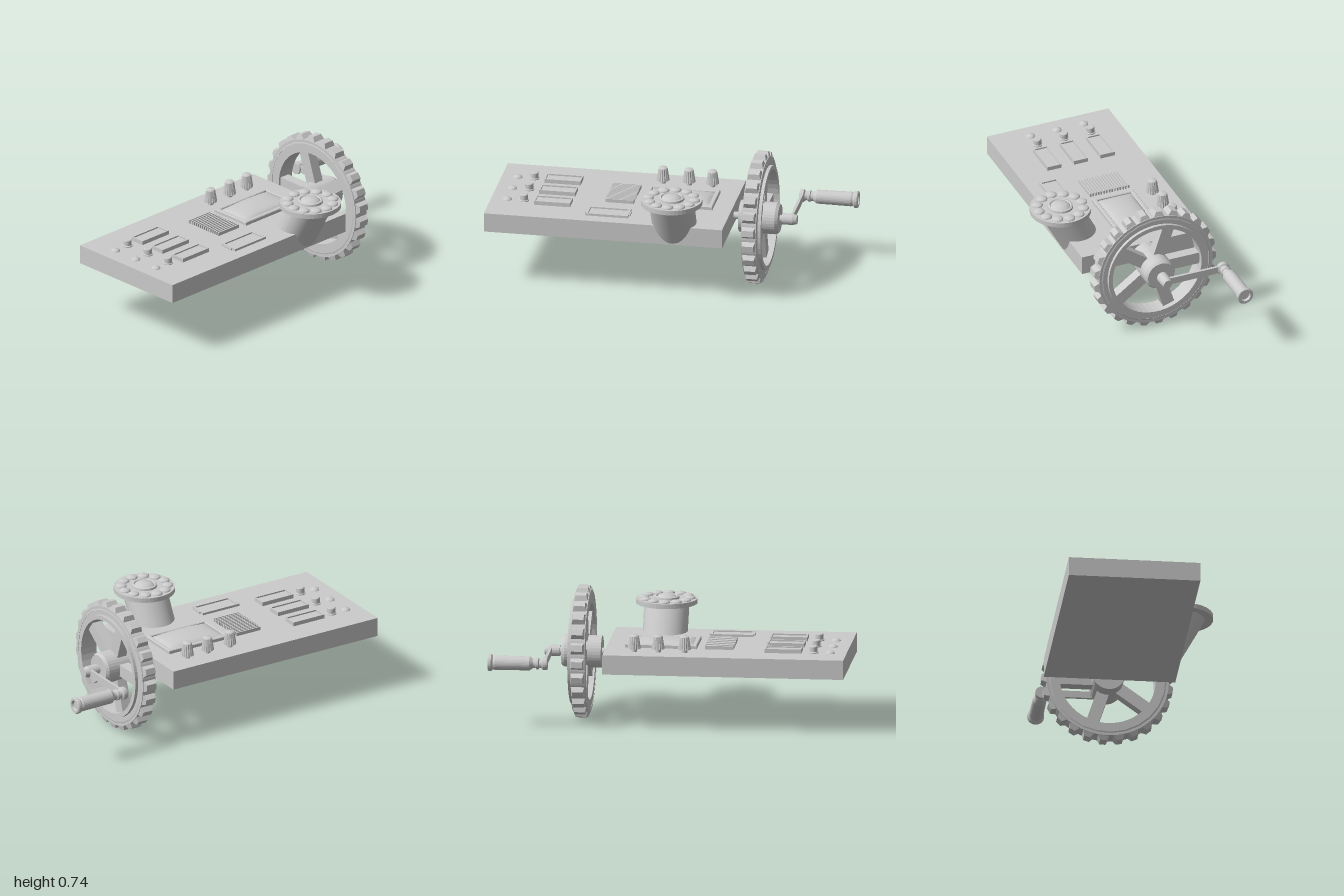
import * as THREE from 'three';

const mat = new THREE.MeshStandardMaterial({ color: 0xcccccc, side: THREE.DoubleSide });
const flat = new THREE.MeshStandardMaterial({ color: 0xcccccc, side: THREE.DoubleSide, flatShading: true });
const TOP = 0.435; // upper face of the board

function add(parent, name, geo, x = 0, y = 0, z = 0, m = flat) {
  const mesh = new THREE.Mesh(geo, m);
  mesh.name = name;
  mesh.position.set(x, y, z);
  parent.add(mesh);
  return mesh;
}

function group(parent, name, x, y, z) {
  const g = new THREE.Group();
  g.name = name;
  g.position.set(x, y, z);
  parent.add(g);
  return g;
}

const box = (w, h, d) => new THREE.BoxGeometry(w, h, d);
const lathe = (pts, n = 32) => new THREE.LatheGeometry(pts.map(p => new THREE.Vector2(...p)), n);

// Lathe whose axis runs towards the back: points are [radius, distance back]
const backLathe = (pts, n) => lathe(pts, n).rotateX(-Math.PI / 2);

function rectPath(w, d, P) {
  const p = new P();
  p.moveTo(-w / 2, -d / 2);
  p.lineTo(w / 2, -d / 2);
  p.lineTo(w / 2, d / 2);
  p.lineTo(-w / 2, d / 2);
  p.closePath();
  return p;
}

// Rectangular rim lying on the board with a sunken panel inside
function framedPanel(parent, name, x, z, w, d, h, border, inner) {
  const g = group(parent, name, x, TOP, z);
  const s = rectPath(w, d, THREE.Shape);
  s.holes.push(rectPath(w - 2 * border, d - 2 * border, THREE.Path));
  add(g, 'rim', new THREE.ExtrudeGeometry(s, { depth: h, bevelEnabled: false }).rotateX(-Math.PI / 2));
  add(g, 'panel', box(w - 2 * border, inner, d - 2 * border), 0, inner / 2, 0);
  return g;
}

function ring(outer, inner, depth, n) {
  const s = new THREE.Shape(), hole = new THREE.Path();
  for (let i = 0; i < n; i++) {
    const a = Math.PI + i / n * Math.PI * 2, c = Math.cos(a), t = Math.sin(a);
    s[i ? 'lineTo' : 'moveTo'](outer * c, outer * t);
    hole[i ? 'lineTo' : 'moveTo'](inner * c, inner * t);
  }
  s.holes.push(hole);
  return new THREE.ExtrudeGeometry(s, { depth, bevelEnabled: false }).translate(0, 0, -depth / 2);
}

function buildGear(root) {
  const gear = group(root, 'gearWheel', -0.08, 0.375, -0.5);
  add(gear, 'rim', ring(0.345, 0.27, 0.084, 50));
  add(gear, 'rearLip', ring(0.295, 0.27, 0.02, 50), 0, 0, -0.05);

  // Teeth: boxes tapered towards the tip
  const tooth = box(0.05, 0.086, 0.088);
  const p = tooth.attributes.position;
  for (let i = 0; i < p.count; i++) {
    const tip = p.getX(i) > 0;
    if (tip) p.setXYZ(i, p.getX(i), p.getY(i) * 0.4, p.getZ(i) * 0.7);
  }
  for (let i = 0; i < 25; i++) {
    const a = Math.PI + i / 25 * Math.PI * 2;
    add(gear, 'tooth', tooth, Math.cos(a) * 0.346, Math.sin(a) * 0.346, 0).rotation.z = a;
  }
  for (let i = 0; i < 5; i++) {
    const a = Math.PI + i / 5 * Math.PI * 2;
    add(gear, 'spoke', box(0.23, 0.07, 0.06), Math.cos(a) * 0.17, Math.sin(a) * 0.17, 0).rotation.z = a;
  }
  // Hub and axle
  add(gear, 'hub', backLathe([[0, -0.107], [0.09, -0.107], [0.09, 0.1], [0.08, 0.117], [0, 0.117]]));
  add(gear, 'axle', backLathe([[0, -0.16], [0.021, -0.16], [0.021, 0.13], [0.032, 0.13], [0.032, 0.19],
    [0.025, 0.215], [0, 0.215]], 24));
}

function buildCrank(root) {
  const crank = group(root, 'crank', -0.43, 0.375, -0.66);
  add(crank, 'crankArm', box(0.35, 0.04, 0.016), 0.175, 0, -0.022);
  add(crank, 'handle', backLathe([[0, 0.005], [0.034, 0.005], [0.036, 0.012], [0.036, 0.03], [0.026, 0.036],
    [0.024, 0.05], [0.032, 0.055], [0.032, 0.066], [0.026, 0.07], [0.026, 0.085], [0.039, 0.105], [0.041, 0.3],
    [0.037, 0.31], [0.048, 0.32], [0.048, 0.335], [0.043, 0.34], [0.03, 0.34], [0.026, 0.325], [0, 0.325]], 28));
}

function buildDial(root) {
  const dial = group(root, 'dialTower', 0.3, 0, -0.07);
  // Leaning post: a cylinder sheared sideways by height
  const post = new THREE.CylinderGeometry(0.127, 0.125, 0.255, 48);
  const p = post.attributes.position;
  for (let i = 0; i < p.count; i++) p.setX(i, p.getX(i) + (p.getY(i) - 0.1275) * 0.54);
  post.computeVertexNormals();
  add(dial, 'post', post, 0, 0.4545, 0, mat);
  add(dial, 'disc', new THREE.CylinderGeometry(0.172, 0.172, 0.027, 48), 0, 0.593, 0);
  const button = lathe([[0.031, 0], [0.031, 0.006], [0.025, 0.011], [0.013, 0.015], [0, 0.016]], 20);
  for (let i = 0; i < 12; i++) {
    const a = i / 12 * Math.PI * 2;
    add(dial, 'dialButton', button, Math.cos(a) * 0.13, 0.606, Math.sin(a) * 0.13, mat);
  }
  add(dial, 'centreRing', lathe([[0.072, 0], [0.07, 0.012], [0.06, 0.016], [0.055, 0.01]]), 0, 0.606, 0);
  add(dial, 'centreDome', lathe([[0.055, 0.008], [0.045, 0.018], [0.025, 0.025], [0, 0.027]]), 0, 0.606, 0, mat);
}

function buildScreen(root) {
  const screen = group(root, 'screen', -0.112, TOP, -0.047);
  // Bevelled surround, hollow in the middle
  const s = rectPath(0.245, 0.395, THREE.Shape);
  s.holes.push(rectPath(0.212, 0.362, THREE.Path));
  add(screen, 'surround', new THREE.ExtrudeGeometry(s, {
    depth: 0.017, bevelThickness: 0.004, bevelSize: 0.004, bevelSegments: 1
  }).rotateX(-Math.PI / 2));
  // Bulging glass
  const glass = new THREE.PlaneGeometry(0.212, 0.362, 16, 20).rotateX(-Math.PI / 2);
  const p = glass.attributes.position;
  for (let i = 0; i < p.count; i++) {
    const u = p.getX(i) / 0.106, v = p.getZ(i) / 0.181;
    p.setY(i, 0.01 + 0.026 * (1 - u * u) ** 0.5 * (1 - v * v) ** 0.5 || 0.01);
  }
  glass.computeVertexNormals();
  add(screen, 'glass', glass, 0, 0, 0, mat);
}

function buildKnobs(root) {
  // Fluted skirt: alternate radii around a tapered cylinder
  const n = 32, geo = new THREE.CylinderGeometry(0.026, 0.037, 0.07, n, 1);
  const p = geo.attributes.position;
  for (let i = 0; i < p.count; i++) {
    const a = Math.atan2(p.getZ(i), p.getX(i));
    const k = Math.round(a / (Math.PI * 2) * n) & 1 ? 0.9 : 1;
    p.setXYZ(i, p.getX(i) * k, p.getY(i), p.getZ(i) * k);
  }
  for (const z of [-0.187, -0.053, 0.095]) {
    const knob = group(root, 'knob', -0.33, TOP, z);
    add(knob, 'stem', new THREE.CylinderGeometry(0.016, 0.016, 0.03, 16), 0, 0.01, 0);
    add(knob, 'skirt', geo, 0, 0.053, 0);
    add(knob, 'cap', lathe([[0.026, 0], [0.022, 0.007], [0, 0.009]], 24), 0, 0.088, 0, mat);
  }
}

export function createModel() {
  const root = new THREE.Group();
  root.name = 'controlPanel';
  add(root, 'board', box(0.74, 0.11, 1.355), -0.08, 0.38, 0.3225);
  buildGear(root);
  buildCrank(root);
  buildDial(root);
  buildScreen(root);
  buildKnobs(root);

  // Speaker grille
  const grille = group(root, 'grille', -0.115, TOP, 0.28);
  for (let i = 0; i < 15; i++) add(grille, 'slat', box(0.009, 0.02, 0.16), (i - 7) * 0.0165, 0.01, 0);

  // Side display with small end lugs
  const display = framedPanel(root, 'sideDisplay', 0.16, 0.315, 0.11, 0.24, 0.013, 0.012, 0.005);
  for (const s of [-1, 1]) add(display, 'endLug', box(0.06, 0.01, 0.012), 0, 0.006, s * 0.122);

  // Three channels: gauge, push button and lamp
  for (const x of [-0.25, -0.088, 0.073]) {
    framedPanel(root, 'gauge', x, 0.645, 0.086, 0.206, 0.023, 0.007, 0.015);
    add(root, 'pushButton', lathe([[0.028, 0], [0.028, 0.005], [0.023, 0.008], [0.023, 0.036], [0.02, 0.04],
      [0, 0.04]], 24), x - 0.01, TOP, 0.813);
    add(root, 'lamp', lathe([[0.026, 0], [0.024, 0.006], [0.015, 0.012], [0, 0.015]], 24), x - 0.01, TOP, 0.908, mat);
  }
  return root;
}
